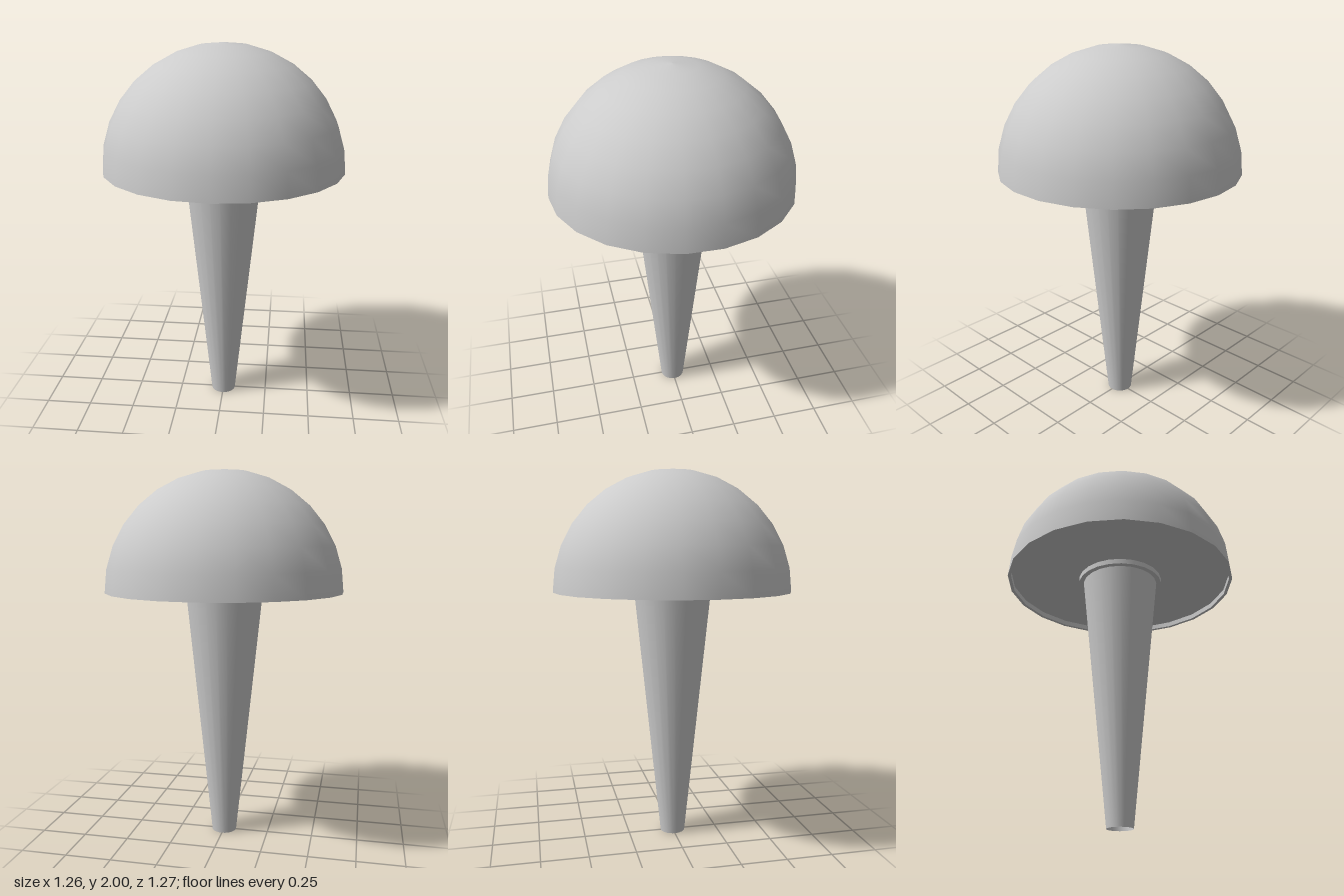
import * as THREE from 'three';
import { mergeGeometries } from 'three/addons/utils/BufferGeometryUtils.js';

const SIDES = 22;
const RADIUS = 0.637;  // cap radius
const RIM = 2 - RADIUS; // height of the cap's lower rim
const RECESS = 0.028;  // depth of the hollow under the cap

const lathe = (points) =>
  new THREE.LatheGeometry(points.map(([r, y]) => new THREE.Vector2(r, y)), SIDES);

// One lathe per straight run, so the corners between runs stay sharp
const sharpLathe = (points) =>
  mergeGeometries(points.slice(1).map((p, i) => lathe([points[i], p])));

export function createModel() {
  const group = new THREE.Group();
  const material = new THREE.MeshStandardMaterial({ color: 0xcccccc });
  const openMaterial = new THREE.MeshStandardMaterial({ color: 0xcccccc, side: THREE.DoubleSide });

  const add = (name, geometry, mat = material) => {
    const mesh = new THREE.Mesh(geometry, mat);
    mesh.name = name;
    group.add(mesh);
  };

  // Half-sphere cap, from the rim to the crown
  const dome = [];
  for (let i = 0; i <= 8; i++) {
    const a = (i / 8) * Math.PI / 2;
    dome.push([i === 8 ? 0 : RADIUS * Math.cos(a), RIM + RADIUS * Math.sin(a)]);
  }
  add('dome', lathe(dome));

  // Recessed underside, inner wall and thin rim
  add('underside', sharpLathe([
    [0.2, RIM + RECESS], [0.619, RIM + RECESS], [0.619, RIM], [RADIUS, RIM],
  ]));

  // Collar where the stem meets the cap
  add('collar', sharpLathe([
    [0.205, RIM], [0.235, RIM], [0.235, RIM + RECESS],
  ]));

  // Hollow tapered stem, open at the foot
  add('stem', lathe([[0.068, 0], [0.211, RIM + RECESS]]), openMaterial);

  return group;
}
